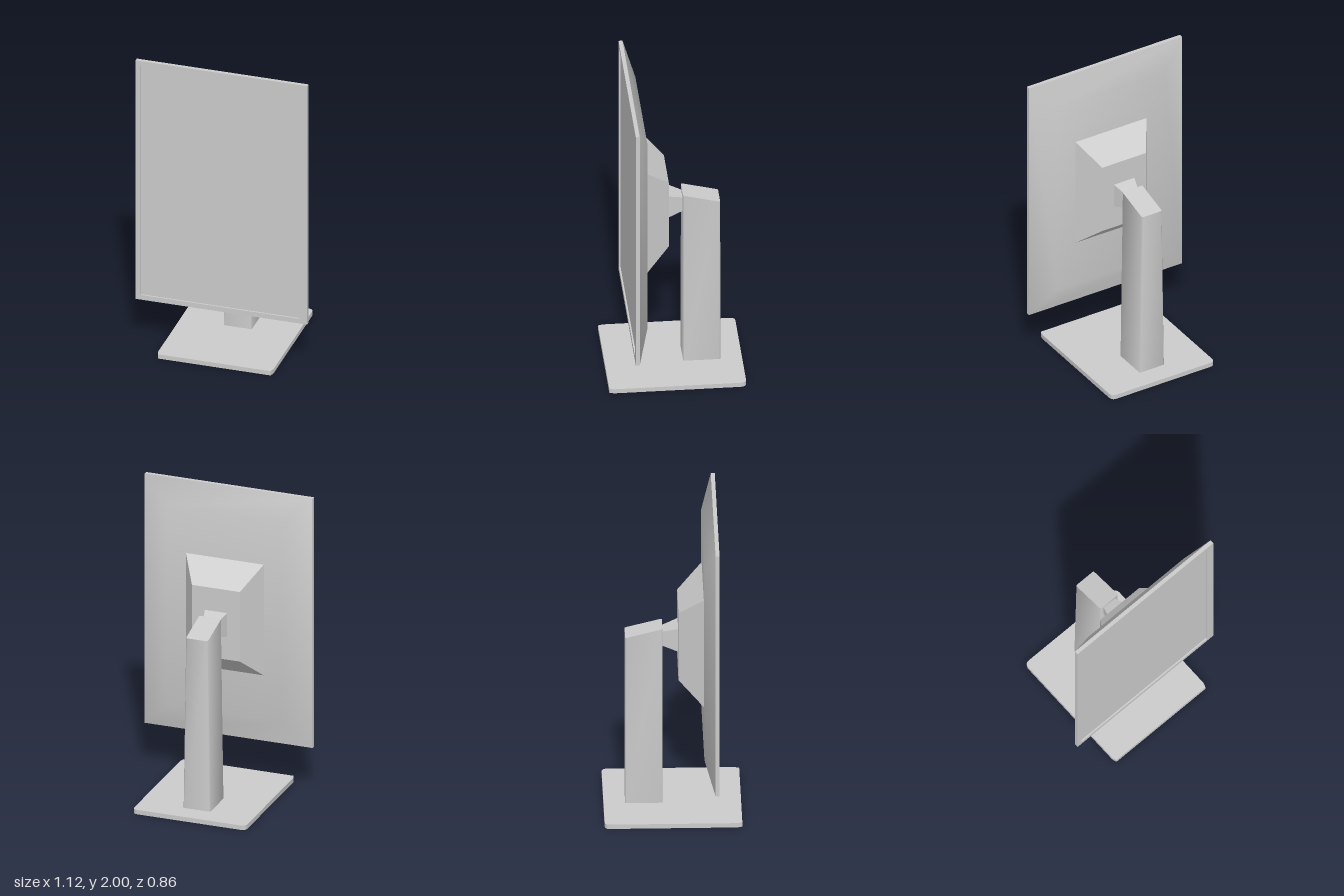
import * as THREE from 'three';
import { toCreasedNormals } from 'three/addons/utils/BufferGeometryUtils.js';

const material = new THREE.MeshStandardMaterial({ color: 0xcccccc });

// Skin a stack of equal-sized cross-sections and cap both ends.
function loft(rings, crease = 0.52) {
  const n = rings[0].length;
  const index = [];
  for (let r = 0; r < rings.length - 1; r++) {
    for (let i = 0; i < n; i++) {
      const j = (i + 1) % n;
      const a = r * n + i, b = r * n + j, c = b + n, d = a + n;
      index.push(a, b, c, a, c, d);
    }
  }
  const last = (rings.length - 1) * n;
  for (let i = 1; i < n - 1; i++) {
    index.push(0, i + 1, i);
    index.push(last, last + i, last + i + 1);
  }
  const geometry = new THREE.BufferGeometry();
  geometry.setAttribute('position', new THREE.Float32BufferAttribute(rings.flat(2), 3));
  geometry.setIndex(index);
  return toCreasedNormals(geometry, crease);
}

// Upright rectangle at depth z.
const rect = (x0, x1, y0, y1, z) => [[x0, y0, z], [x1, y0, z], [x1, y1, z], [x0, y1, z]];

// Level section of the column with cut corners; yAt gives the height at each depth.
function columnSection(w, yAt) {
  const front = -0.062, back = -0.295, c = 0.006;
  return [
    [-w + c, front], [w - c, front], [w, front - c], [w, back + c],
    [w - c, back], [-w + c, back], [-w, back + c], [-w, front - c],
  ].map(([x, z]) => [x, yAt(z), z]);
}

export function createModel() {
  const model = new THREE.Group();
  const add = (name, geometry) => {
    const mesh = new THREE.Mesh(geometry, material);
    mesh.name = name;
    model.add(mesh);
    return mesh;
  };

  // Display housing: tapered back, thin rim, bezel and recessed screen
  add('displayPanel', loft([
    rect(-0.395, 0.395, 0.485, 1.83, 0.19),
    rect(-0.56, 0.56, 0.315, 2, 0.255),
    rect(-0.56, 0.56, 0.315, 2, 0.28),
    rect(-0.53, 0.51, 0.348, 1.968, 0.28),
    rect(-0.53, 0.51, 0.348, 1.968, 0.27),
  ]));

  // Raised housing on the back of the display
  add('rearHousing', loft([
    rect(-0.16, 0.16, 0.925, 1.395, 0.035),
    rect(-0.26, 0.26, 0.785, 1.535, 0.191),
  ]));

  // Tapered arm joining the housing to the column
  add('mountArm', loft([
    rect(-0.045, 0.045, 1.11, 1.207, -0.066),
    rect(-0.075, 0.075, 1.08, 1.24, 0.036),
  ]));

  // Upright column, narrowing slightly to a sloped top
  add('standColumn', loft([
    columnSection(0.09, () => 0.028),
    columnSection(0.073, (z) => 1.238 + (z + 0.062) * 0.255),
  ], 0.9));

  // Foot plate: rounded rear corners, small cuts at the front
  const w = 0.377, front = -0.427, back = 0.43, r = 0.035;
  const plate = new THREE.Shape();
  plate.moveTo(-w + 0.01, front);
  plate.lineTo(w - 0.01, front);
  plate.lineTo(w, front + 0.03);
  plate.lineTo(w, back - r);
  plate.quadraticCurveTo(w, back, w - r, back);
  plate.lineTo(-w + r, back);
  plate.quadraticCurveTo(-w, back, -w, back - r);
  plate.lineTo(-w, front + 0.03);
  plate.closePath();
  const plateGeometry = new THREE.ExtrudeGeometry(plate, { depth: 0.03, bevelEnabled: false, curveSegments: 6 });
  plateGeometry.rotateX(-Math.PI / 2);
  add('basePlate', toCreasedNormals(plateGeometry, 0.52));

  return model;
}
